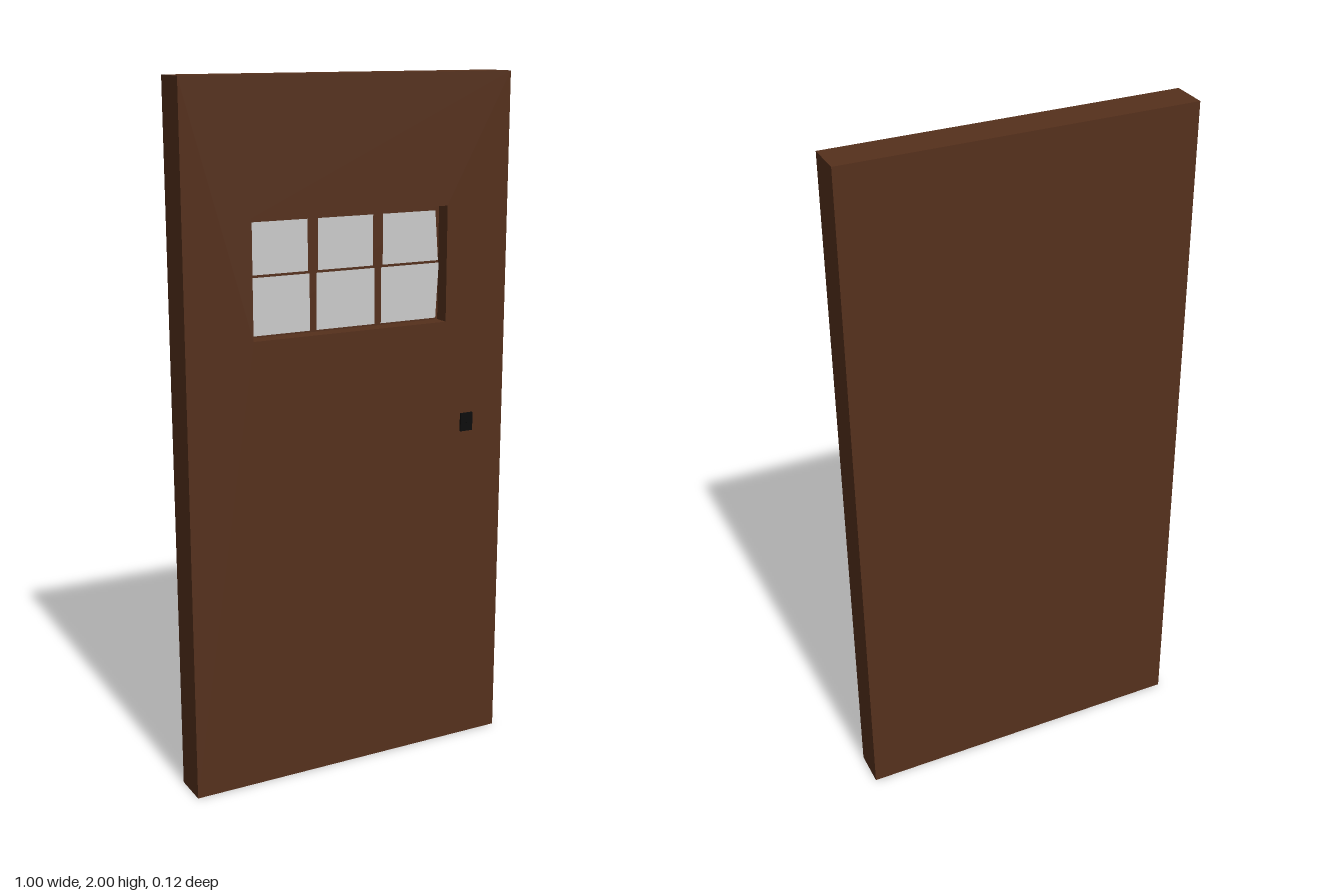
import * as THREE from 'three';

const BACK = -0.06, FLOOR = 0.002, FRONT = 0.048;

const material = (color) => new THREE.MeshStandardMaterial({ color, flatShading: true });
const polygon = (points) => new THREE.Shape(points.map(([x, y]) => new THREE.Vector2(x, y)));
const rectangle = (x0, y0, x1, y1) => polygon([[x0, y0], [x1, y0], [x1, y1], [x0, y1]]);

export function createModel() {
  const door = new THREE.Group();
  door.name = 'door';
  const wood = material(0x55301c);
  const glass = material(0xcccccc);
  const black = material(0x0c0c0c);

  const add = (name, geometry, mat, x = 0, y = 0, z = 0) => {
    const mesh = new THREE.Mesh(geometry, mat);
    mesh.name = name;
    mesh.position.set(x, y, z);
    door.add(mesh);
    return mesh;
  };

  // Door leaf: one solid with a blind window recess cut into the front
  const vertices = [];
  const addQuad = (a, b, c, d) => vertices.push(...a, ...b, ...c, ...a, ...c, ...d);
  const ring = (x0, y0, x1, y1, z) => [[x0, y0, z], [x1, y0, z], [x1, y1, z], [x0, y1, z]];
  const loops = [
    ring(-0.5, 0, 0.5, 2, BACK),
    ring(-0.5, 0, 0.5, 2, FRONT),
    ring(-0.303, 1.305, 0.3, 1.635, FRONT),
    ring(-0.303, 1.305, 0.3, 1.635, FLOOR),
  ];
  for (let i = 0; i < 3; i++) {
    for (let j = 0; j < 4; j++) {
      const k = (j + 1) % 4;
      addQuad(loops[i][j], loops[i][k], loops[i + 1][k], loops[i + 1][j]);
    }
  }
  addQuad(...loops[3]);
  addQuad(...[...loops[0]].reverse());
  const leaf = new THREE.BufferGeometry();
  leaf.setAttribute('position', new THREE.Float32BufferAttribute(vertices, 3));
  leaf.computeVertexNormals();
  add('doorLeaf', leaf, wood);

  // Six panes, the outer ones with slightly slanted outer edges
  const rows = [
    { name: 'upper', y0: 1.476, y1: 1.618, outer0: 0.298, outer1: 0.287, inner: 0.117, middle: 0.086 },
    { name: 'lower', y0: 1.31, y1: 1.469, outer0: 0.292, outer1: 0.301, inner: 0.112, middle: 0.091 },
  ];
  const paneZ = FLOOR + 0.002;
  for (const r of rows) {
    add(r.name + 'MiddlePane', new THREE.ShapeGeometry(rectangle(-r.middle, r.y0, r.middle, r.y1)), glass, 0, 0, paneZ);
    for (const [side, s] of [['Left', 1], ['Right', -1]]) {
      const corners = [[r.inner, r.y0], [r.outer0, r.y0], [r.outer1, r.y1], [r.inner, r.y1]];
      const shape = polygon(corners.map(([x, y]) => [s * x, y]));
      add(r.name + side + 'Pane', new THREE.ShapeGeometry(shape), glass, 0, 0, paneZ);
    }
  }

  // Handle plate with a small pin
  add('handlePlate', new THREE.BoxGeometry(0.04, 0.054, 0.006), black, 0.375, 1.001, FRONT + 0.003);
  const pin = add('handlePin', new THREE.CylinderGeometry(0.003, 0.003, 0.006, 8), black, 0.375, 1, FRONT + 0.009);
  pin.rotation.x = Math.PI / 2;

  return door;
}
